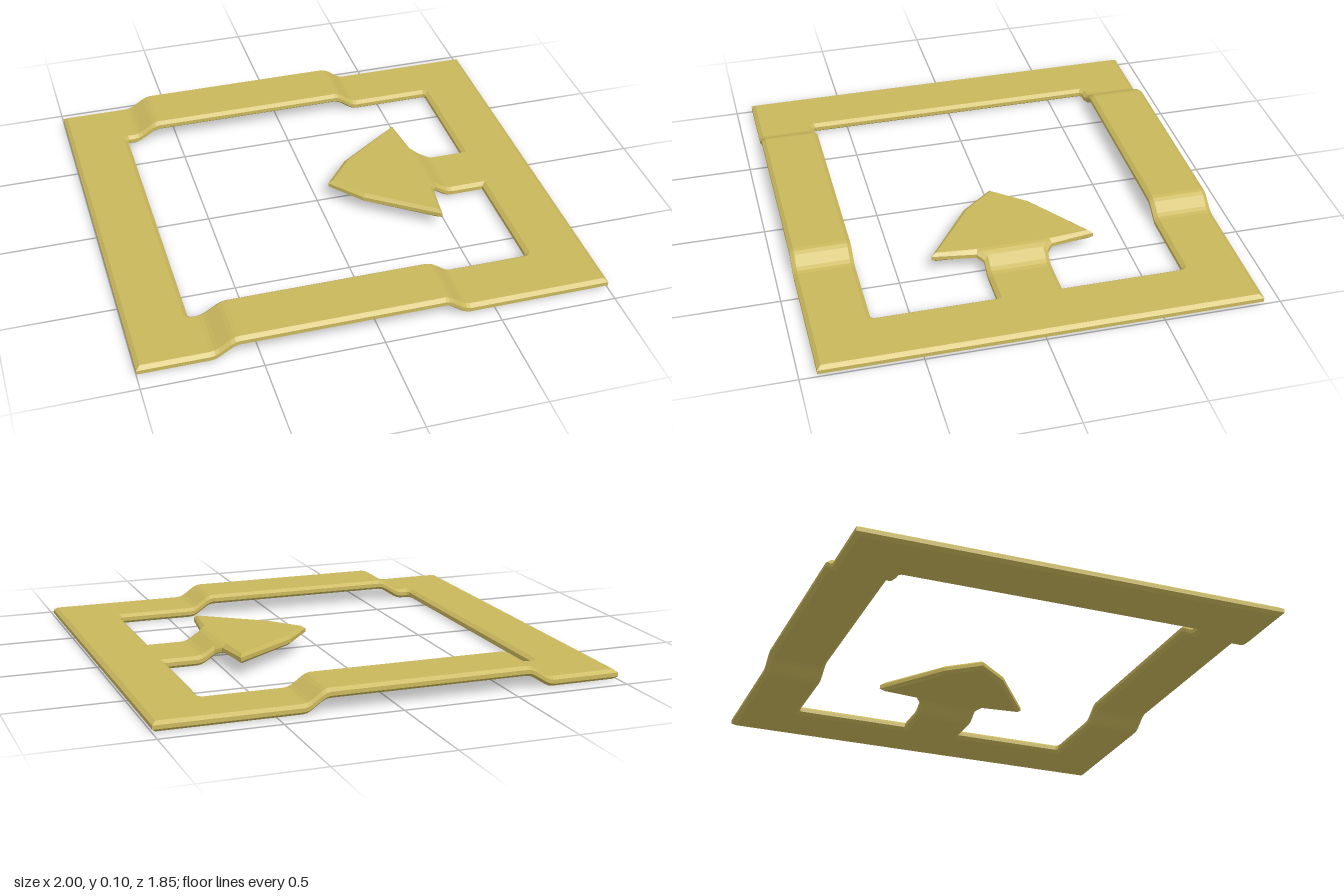
import * as THREE from 'three';

const BEVEL = 0.017, THICK = 0.043, EDGE = 0.013, LIFT = 0.055;

// Bends: [start x, end x] of each S-shaped step
const RAIL_UP = [-0.70, -0.58], RAIL_DOWN = [0.28, 0.39], TONGUE_DOWN = [0.47, 0.59];
const STEPS = [0, 0.15, 0.3, 0.7, 0.85, 1];

const ease = (x, [a, b]) => THREE.MathUtils.smoothstep(x, a, b);

// Height added at a point: raised rails, and a raised tongue in the middle
function lift(x, z) {
  if (Math.abs(z) < 0.5 && x > -0.7 && x < 0.7) return LIFT * (1 - ease(x, TONGUE_DOWN));
  return LIFT * (ease(x, RAIL_UP) - ease(x, RAIL_DOWN));
}

// Split triangles along the plane x = cut so that the plate can fold there
function sliceAtX(triangles, cut) {
  const out = [];
  for (const tri of triangles) {
    for (const side of [-1, 1]) {
      const poly = [];
      tri.forEach((p, i) => {
        const q = tri[(i + 1) % 3];
        const dp = (p.x - cut) * side, dq = (q.x - cut) * side;
        if (dp >= 0) poly.push(p);
        if (dp * dq < 0) poly.push(p.clone().lerp(q, dp / (dp - dq)));
      });
      if (poly.length < 3 || poly.every((p) => p.x === cut)) continue;
      for (let i = 1; i < poly.length - 1; i++) out.push([poly[0], poly[i], poly[i + 1]]);
    }
  }
  return out;
}

function plateGeometry() {
  // Outer rectangle
  const ox = 1 - BEVEL, oz = 0.927 - BEVEL;
  const shape = new THREE.Shape([[-ox, -oz], [ox, -oz], [ox, oz], [-ox, oz]]
    .map(([x, z]) => new THREE.Vector2(x, z)));

  // Opening with the arrow-shaped tongue reaching in from the +x bar
  const c = 0.02, hx = 0.754, hz = 0.683;
  const half = [[0.182, 0.132], [0.457, 0.333], [0.474, 0.157], [0.51, 0.121], [hx, 0.121],
    [hx, hz - c], [hx - c, hz], [-hx + c, hz], [-hx, hz - c]];
  const mirrored = half.map(([x, z]) => [x, -z]).reverse();
  shape.holes.push(new THREE.Path([[0.074, 0], ...half, ...mirrored]
    .map(([x, z]) => new THREE.Vector2(x, z))));

  const flat = new THREE.ExtrudeGeometry(shape, {
    depth: THICK - 2 * EDGE, bevelThickness: EDGE, bevelSize: BEVEL, bevelSegments: 1,
  }).rotateX(Math.PI / 2).translate(0, THICK - EDGE, 0);

  // Cut along every bend line
  const pos = flat.attributes.position;
  let triangles = [];
  for (let i = 0; i < pos.count; i += 3) {
    triangles.push([0, 1, 2].map((k) => new THREE.Vector3().fromBufferAttribute(pos, i + k)));
  }
  for (const [a, b] of [RAIL_UP, RAIL_DOWN, TONGUE_DOWN]) {
    for (const t of STEPS) triangles = sliceAtX(triangles, a + (b - a) * t);
  }

  // Fold the plate into its steps
  const points = triangles.flat().map((p) => new THREE.Vector3(p.x, p.y + lift(p.x, p.z), p.z));
  const geometry = new THREE.BufferGeometry().setFromPoints(points);
  geometry.computeVertexNormals();
  return geometry;
}

export function createModel() {
  const group = new THREE.Group();
  group.name = 'buckle';
  const plate = new THREE.Mesh(plateGeometry(),
    new THREE.MeshStandardMaterial({ color: 0xc9b75c }));
  plate.name = 'frameWithTongue';
  group.add(plate);
  return group;
}
